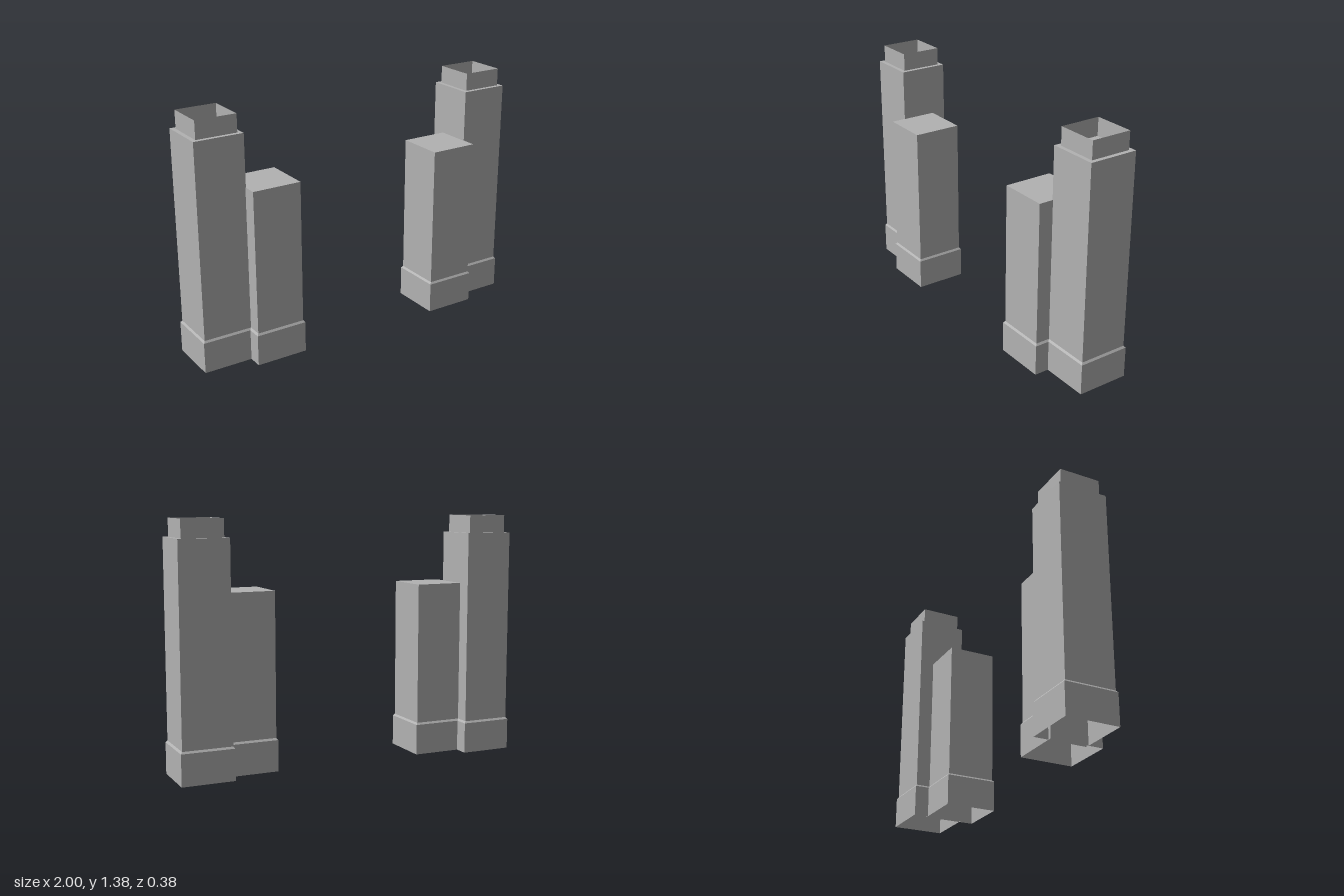
import * as THREE from 'three';

const concrete = new THREE.MeshStandardMaterial({ color: 0xb2b2b2, side: THREE.DoubleSide });
concrete.name = 'concrete grey';

// Open square shell around the y axis from [half width, height] steps
function squareShell(name, steps) {
  const points = steps.map(([half, y]) => new THREE.Vector2(half * Math.SQRT2, y));
  const geometry = new THREE.LatheGeometry(points, 4, Math.PI / 4).toNonIndexed();
  geometry.computeVertexNormals();
  const mesh = new THREE.Mesh(geometry, concrete);
  mesh.name = name;
  return mesh;
}

const BASE = 0.1475, SHAFT = 0.139, CROWN = 0.1155;

// Hollow tower: plinth with a sloped ledge, shaft, flat roof, optional open crown
function tower(name, x, z, height, hasCrown) {
  const group = new THREE.Group();
  group.name = name;
  group.add(
    squareShell('base', [[BASE, 0], [BASE, 0.175]]),
    squareShell('ledge', [[BASE, 0.175], [SHAFT, 0.186]]),
    squareShell('shaft', [[SHAFT, 0.186], [SHAFT, height]]),
    squareShell('roof', [[SHAFT, height], [0, height]])
  );
  if (hasCrown) group.add(squareShell('crown', [[CROWN, height], [CROWN, height + 0.1]]));
  group.position.set(x, 0, z);
  return group;
}

export function createModel() {
  const model = new THREE.Group();
  model.name = 'towers';
  // Two mirrored pairs, each a tall outer tower and a lower inner one
  for (const [side, label] of [[-1, 'right'], [1, 'left']]) {
    const pair = new THREE.Group();
    pair.name = label + 'TowerPair';
    pair.add(
      tower('tallTower', side * 0.8525, -0.04, 1.28, true),
      tower('lowTower', side * 0.5775, 0.0425, 0.99, false)
    );
    model.add(pair);
  }
  return model;
}
